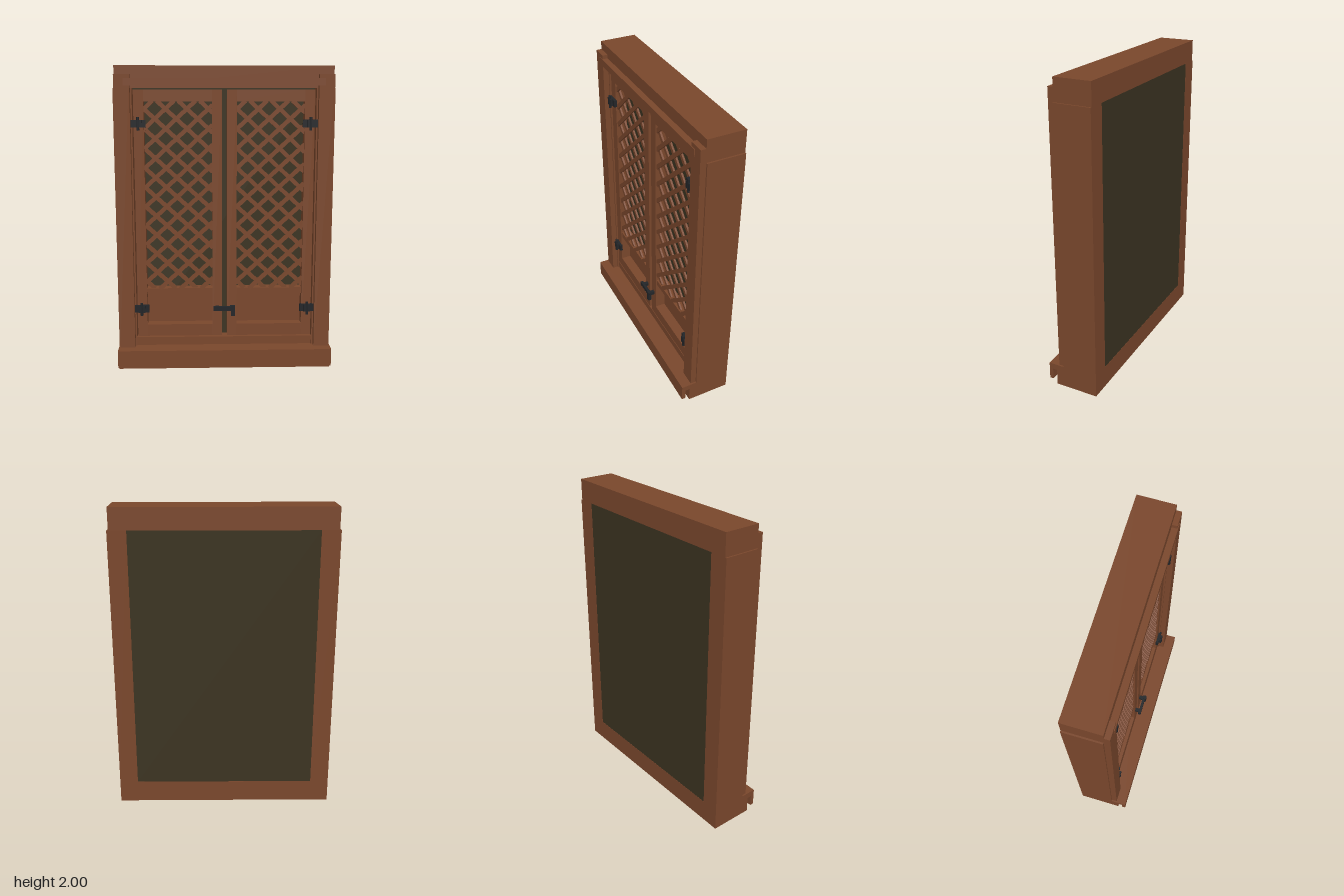
import * as THREE from 'three';

const mat = (name, color) => {
  const m = new THREE.MeshStandardMaterial({ color });
  m.name = name;
  return m;
};

export function createModel() {
  const wood = mat('brown wood', 0x7a472c);
  const dark = mat('dark olive board', 0x3b3321);
  const iron = mat('black iron', 0x222528);
  const model = new THREE.Group();
  model.name = 'latticeWindow';

  // Box given by its min and max on each axis
  const box = (parent, name, material, x0, x1, y0, y1, z0, z1) => {
    const m = new THREE.Mesh(new THREE.BoxGeometry(x1 - x0, y1 - y0, z1 - z0), material);
    m.position.set((x0 + x1) / 2, (y0 + y1) / 2, (z0 + z1) / 2);
    m.name = name;
    parent.add(m);
    return m;
  };

  // Sill with a hooked drip edge, extruded along x
  const profile = [[-0.17, 0], [0.115, 0], [0.115, 0.105], [0.145, 0.105],
    [0.145, 0.03], [0.17, 0.03], [0.17, 0.145], [-0.17, 0.145]];
  const sillShape = new THREE.Shape(profile.map(([z, y]) => new THREE.Vector2(-z, y)));
  const sillGeo = new THREE.ExtrudeGeometry(sillShape, { depth: 1.42, bevelEnabled: false });
  sillGeo.rotateY(Math.PI / 2);
  sillGeo.translate(-0.71, 0, 0);
  const sill = new THREE.Mesh(sillGeo, wood);
  sill.name = 'sill';
  model.add(sill);

  // Outer frame
  box(model, 'lintel', wood, -0.7, 0.7, 1.86, 2, -0.17, 0.068);
  box(model, 'topBar', wood, -0.64, 0.64, 1.875, 1.92, 0.066, 0.107);
  box(model, 'bottomRail', wood, -0.59, 0.59, 0.145, 0.2, -0.03, 0.055);
  box(model, 'backBoard', dark, -0.59, 0.59, 0.145, 1.86, -0.169, -0.02);
  for (const s of [-1, 1]) {
    const span = (a, b) => (s > 0 ? [a, b] : [-b, -a]);
    box(model, 'sidePost', wood, ...span(0.59, 0.71), 0.145, 1.86, -0.17, 0.065);
    box(model, 'sideTrim', wood, ...span(0.6, 0.7), 0.145, 1.945, 0.06, 0.102);
  }

  // Crossed slats filling the opening, each cut to the window
  const addLattice = (door, x0, x1, y0, y1) => {
    const px = 0.138, py = 0.127, slope = py / px;
    const cx = x0 + 0.07, cy = y0 + 0.045;
    for (const dir of [-1, 1]) {
      for (let k = -14; k <= 14; k++) {
        const c = cy + (k + 0.5) * py; // height of the slat line at cx
        const at = (y) => cx + (y - c) / (dir * slope);
        const ends = [at(y0), at(y1)].sort((a, b) => a - b);
        const a = Math.max(x0, ends[0]), b = Math.min(x1, ends[1]);
        if (b - a < 0.01) continue;
        const ya = c + dir * slope * (a - cx), yb = c + dir * slope * (b - cx);
        const z = dir > 0 ? 0.043 : 0.033;
        const slat = new THREE.Mesh(
          new THREE.BoxGeometry(Math.hypot(b - a, yb - ya) + 0.012, 0.027, 0.012), wood);
        slat.position.set((a + b) / 2, (ya + yb) / 2, z);
        slat.rotation.z = Math.atan2(yb - ya, b - a);
        slat.name = 'latticeSlat';
        door.add(slat);
      }
    }
  };

  // Pair of doors with hinges
  for (const s of [-1, 1]) {
    const span = (a, b) => (s > 0 ? [a, b] : [-b, -a]);
    const door = new THREE.Group();
    door.name = s > 0 ? 'leftDoor' : 'rightDoor';
    model.add(door);
    box(door, 'outerStile', wood, ...span(0.518, 0.583), 0.21, 1.85, -0.022, 0.056);
    box(door, 'innerStile', wood, ...span(0.017, 0.08), 0.21, 1.85, -0.022, 0.056);
    const inner = span(0.08, 0.518);
    box(door, 'topRail', wood, ...inner, 1.775, 1.85, -0.022, 0.056);
    box(door, 'middleRail', wood, ...inner, 0.5, 0.54, -0.022, 0.048);
    box(door, 'lowerRail', wood, ...inner, 0.21, 0.29, -0.022, 0.056);
    box(door, 'lowerPanel', wood, ...inner, 0.29, 0.5, -0.022, -0.012);
    addLattice(door, ...inner, 0.54, 1.775);

    for (const y of [0.405, 1.635]) {
      const hinge = new THREE.Group();
      hinge.name = 'hinge';
      door.add(hinge);
      box(hinge, 'hingePlate', iron, ...span(0.505, 0.6), y - 0.024, y + 0.024, 0.054, 0.074);
      box(hinge, 'hingeKnuckle', iron, ...span(0.53, 0.575), y - 0.024, y + 0.024, 0.07, 0.09);
      const pin = new THREE.Mesh(new THREE.CylinderGeometry(0.009, 0.009, 0.086, 8), iron);
      pin.position.set(s * 0.553, y, 0.084);
      pin.name = 'hingePin';
      hinge.add(pin);
    }
  }

  // Latch across the two doors
  const latch = new THREE.Group();
  latch.name = 'latch';
  model.add(latch);
  box(latch, 'latchBar', iron, -0.075, 0.07, 0.395, 0.424, 0.084, 0.102);
  box(latch, 'latchLever', iron, 0.042, 0.068, 0.36, 0.43, 0.084, 0.108);
  for (const x of [-0.05, 0.05]) {
    box(latch, 'latchMount', iron, x - 0.012, x + 0.012, 0.398, 0.42, 0.05, 0.09);
  }

  return model;
}
